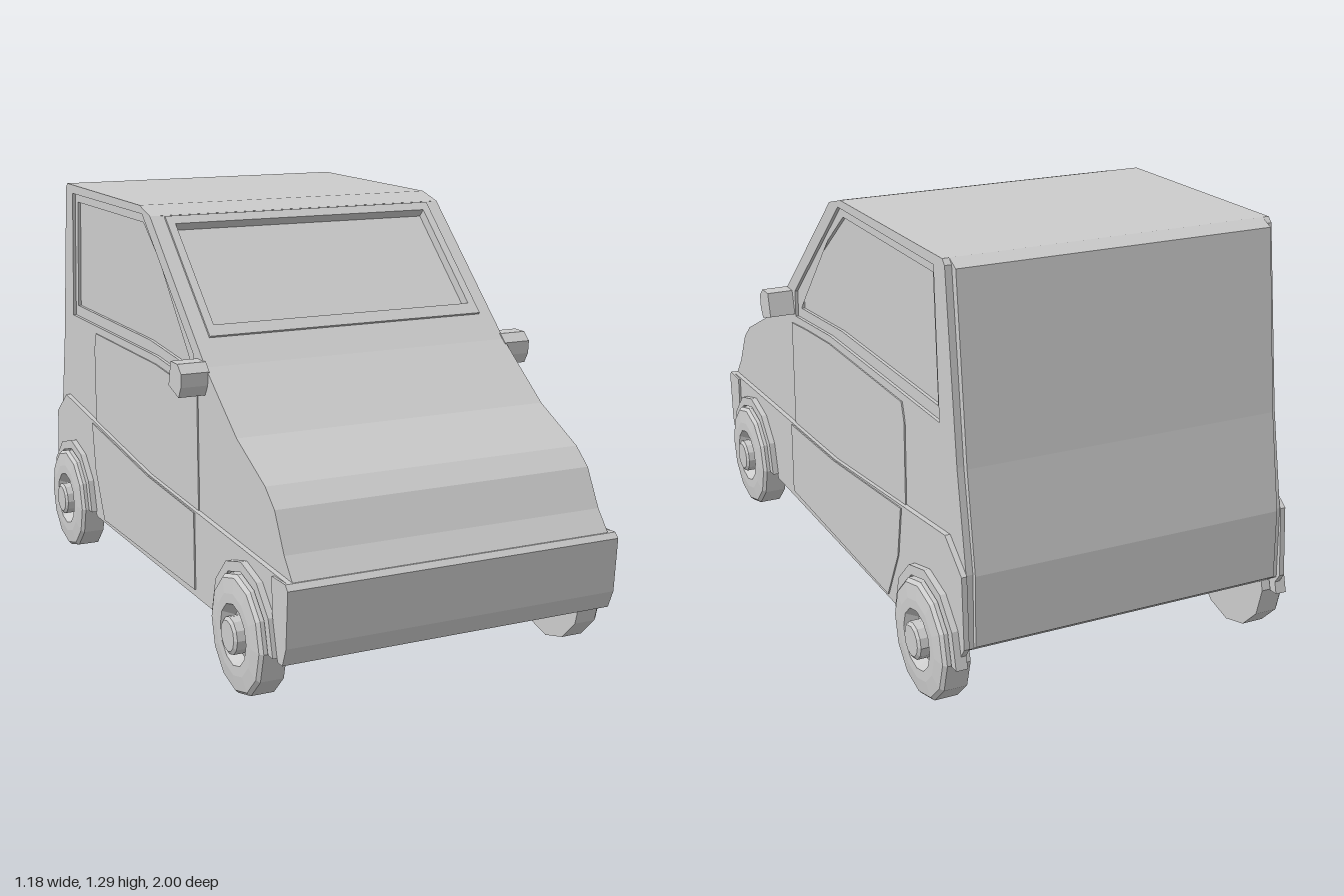
import * as THREE from 'three';

const material = new THREE.MeshStandardMaterial({ color: 0xcccccc, flatShading: true });

function makeShape(points, hole) {
  const shape = new THREE.Shape(points.map(([a, b]) => new THREE.Vector2(a, b)));
  if (hole) shape.holes.push(new THREE.Path(hole.map(([a, b]) => new THREE.Vector2(a, b))));
  return shape;
}

// Outline given as [z, y] pairs, extruded across the car from x0 to x1
function slab(name, points, x0, x1, hole) {
  const flip = (list) => list && list.map(([z, y]) => [-z, y]);
  const geo = new THREE.ExtrudeGeometry(makeShape(flip(points), flip(hole)), { depth: x1 - x0, bevelEnabled: false });
  geo.rotateY(Math.PI / 2).translate(x0, 0, 0);
  const mesh = new THREE.Mesh(geo, material);
  mesh.name = name;
  return mesh;
}

// Polygonal half ring over a wheel, from front to back
function arc(z, y, r) {
  const list = [];
  for (let i = 0; i <= 6; i++) {
    const t = (i / 6) * Math.PI;
    list.push([z + r * Math.cos(t), y + r * Math.sin(t)]);
  }
  return list;
}

const rect = (w, y0, y1) => [[-w, y0], [w, y0], [w, y1], [-w, y1]];

export function createModel() {
  const car = new THREE.Group();
  car.name = 'car';
  const bothSides = (name, points, x0, x1, hole) => car.add(
    slab('left' + name, points, x0, x1, hole),
    slab('right' + name, points, -x1, -x0, hole));

  // Main body, cut back below the windscreen panel
  const nose = [[0.98, 0.4], [0.93, 0.46], [0.87, 0.57], [0.81, 0.62], [0.62, 0.71], [0.4, 0.87]];
  const roof = [[-0.03, 1.26], [-0.12, 1.285], [-0.84, 1.29]];
  const floor = [[-0.94, 0.2], [-0.72, 0.16], [0.95, 0.165]];
  car.add(slab('body', [
    ...nose, [0.383, 0.852], [-0.047, 1.242], ...roof,
    [-0.88, 1.27], [-0.945, 0.74], [-0.995, 0.45], [-0.998, 0.24], ...floor,
  ], -0.485, 0.485));

  // Side skins with window openings
  const opening = [[0.31, 0.805], [0, 0.83], [-0.815, 0.83], [-0.785, 1.26], [-0.1, 1.26], [0.31, 0.89]];
  const pane = [[0.275, 0.84], [-0.08, 0.867], [-0.787, 0.867], [-0.76, 1.232], [-0.115, 1.232], [0.275, 0.93]];
  bothSides('SidePanel', [
    ...nose, ...roof, [-0.855, 1.275], [-0.925, 0.74], [-0.98, 0.45], [-0.985, 0.23], ...floor,
  ], 0.485, 0.505, opening);
  bothSides('WindowFrame', opening, 0.485, 0.495, pane);

  // Windscreen panel and its raised frame, laid on the slope
  const angle = Math.atan2(0.43, 0.39);
  const screen = new THREE.Group();
  screen.name = 'windscreen';
  screen.rotation.x = -angle;
  screen.position.set(0, 0.87 - 0.025 * Math.sin(angle), 0.4 - 0.025 * Math.cos(angle));
  const glassHole = rect(0.435, 0.145, 0.54);
  const addScreenPart = (name, points, depth) => {
    const geo = new THREE.ExtrudeGeometry(makeShape(points, glassHole), { depth, bevelEnabled: false });
    const mesh = new THREE.Mesh(geo, material);
    mesh.name = name;
    screen.add(mesh);
  };
  addScreenPart('windscreenPanel', rect(0.485, 0, 0.58), 0.025);
  addScreenPart('windscreenFrame', rect(0.46, 0.104, 0.572), 0.032);
  car.add(screen);

  // Front bumper
  car.add(slab('frontBumper', [
    [0.985, 0.4], [1, 0.385], [0.988, 0.22], [0.965, 0.165], [0.935, 0.165], [0.9, 0.3], [0.9, 0.398],
  ], -0.528, 0.528));

  // Lower flanks with arch cut-outs, and the two halves of each door
  const wheels = [0.72, -0.78];
  bothSides('LowerFlank', [
    [0.985, 0.4], [-0.05, 0.44], [-0.88, 0.53], [-0.985, 0.45], [-1, 0.24], [-0.98, 0.21],
    ...arc(-0.78, 0.175, 0.195).reverse(), [-0.57, 0.158], [0.51, 0.158],
    ...arc(0.72, 0.175, 0.195).reverse(), [0.96, 0.165],
  ], 0.505, 0.521);
  bothSides('UpperDoor', [
    [0.34, 0.425], [0.34, 0.775], [0.2, 0.79], [0, 0.805], [-0.565, 0.805], [-0.583, 0.75], [-0.585, 0.497], [-0.05, 0.44],
  ], 0.5, 0.509);
  bothSides('LowerDoor', [
    [0.34, 0.42], [-0.05, 0.436], [-0.585, 0.49], [-0.56, 0.33], [-0.48, 0.17], [0.34, 0.18],
  ], 0.515, 0.525);

  // Wheel arch trims
  wheels.forEach((z, i) => bothSides(i ? 'RearArch' : 'FrontArch',
    [...arc(z, 0.175, 0.21), ...arc(z, 0.175, 0.18).reverse()], 0.505, 0.54));

  // Door mirrors
  bothSides('Mirror', [
    [0.418, 0.86], [0.39, 0.885], [0.337, 0.885], [0.318, 0.81], [0.395, 0.787], [0.415, 0.82],
  ], 0.5, 0.588);

  // Twelve-sided wheels with a dished rim and raised hub
  const profile = [[0, 0.48], [0.175, 0.48], [0.175, 0.55], [0.165, 0.56], [0.12, 0.565],
    [0.09, 0.565], [0.07, 0.53], [0.055, 0.535], [0.055, 0.575], [0.045, 0.582], [0, 0.582]];
  const wheelGeo = new THREE.LatheGeometry(profile.map(([r, h]) => new THREE.Vector2(r, h)), 12);
  wheelGeo.rotateZ(-Math.PI / 2);
  wheels.forEach((z, i) => [1, -1].forEach((side) => {
    const wheel = new THREE.Mesh(wheelGeo, material);
    wheel.name = (side > 0 ? 'left' : 'right') + (i ? 'RearWheel' : 'FrontWheel');
    wheel.position.set(0, 0.175, z);
    if (side < 0) wheel.rotation.y = Math.PI;
    car.add(wheel);
  }));

  return car;
}
